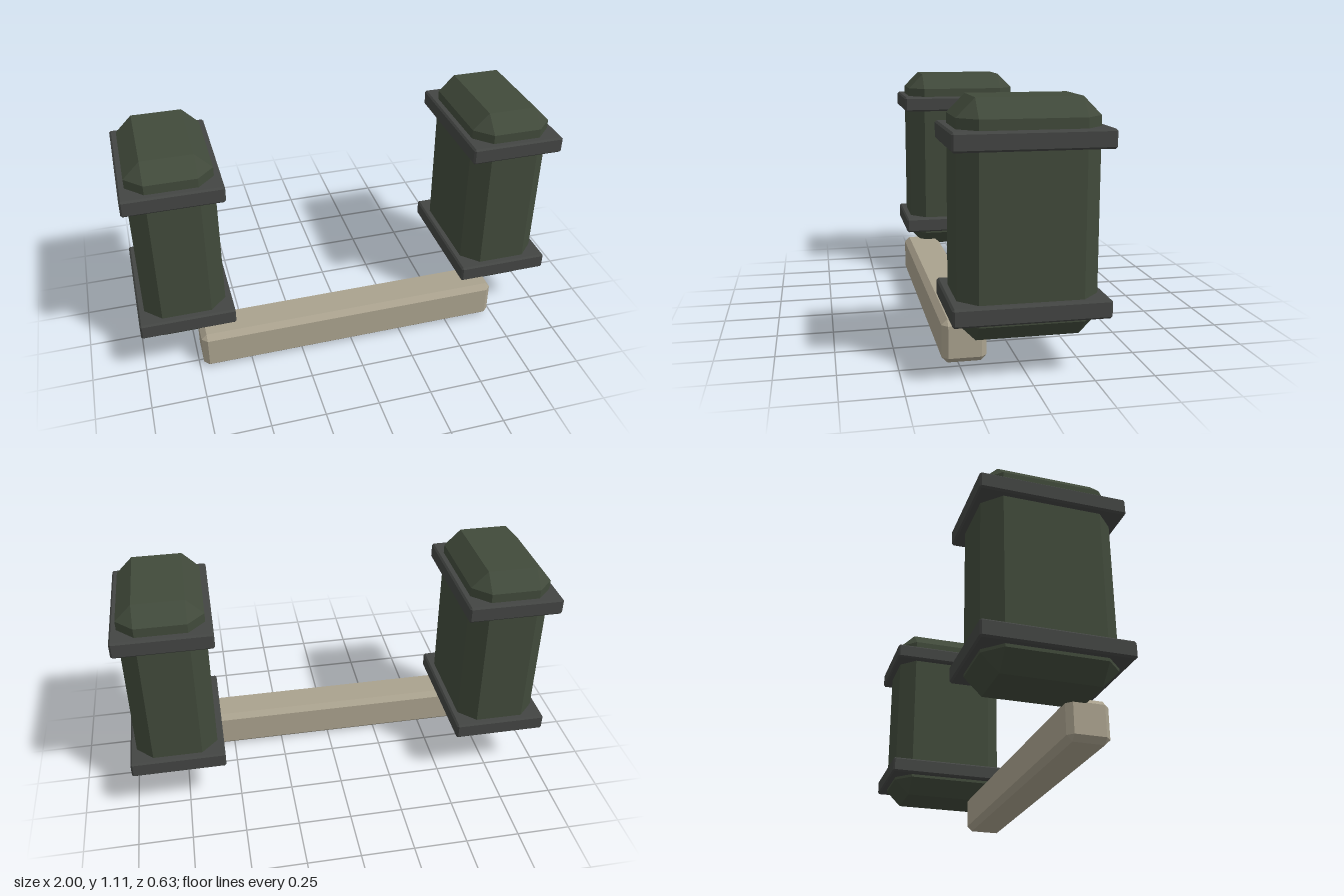
import * as THREE from 'three';
import { ConvexGeometry } from 'three/addons/geometries/ConvexGeometry.js';

// Box with every edge cut by a single flat bevel
function chamferBox(w, h, d, b) {
  const points = [];
  for (const sx of [-1, 1]) for (const sy of [-1, 1]) for (const sz of [-1, 1]) {
    const x = w / 2, y = h / 2, z = d / 2;
    points.push(
      new THREE.Vector3(sx * x, sy * (y - b), sz * (z - b)),
      new THREE.Vector3(sx * (x - b), sy * y, sz * (z - b)),
      new THREE.Vector3(sx * (x - b), sy * (y - b), sz * z)
    );
  }
  return new ConvexGeometry(points);
}

export function createModel() {
  const model = new THREE.Group();
  const material = (color) => new THREE.MeshStandardMaterial({ color, flatShading: true });
  const green = material(0x414a3b);
  const dark = material(0x434543);
  const tan = material(0xaaa28e);

  const add = (parent, name, geometry, mat, x, y, z) => {
    const mesh = new THREE.Mesh(geometry, mat);
    mesh.name = name;
    mesh.position.set(x, y, z);
    parent.add(mesh);
  };

  // Two upright canisters, each with an upper and a lower band
  const bodyGeometry = chamferBox(0.376, 0.95, 0.57, 0.075);
  const bandGeometry = chamferBox(0.437, 0.076, 0.634, 0.008);
  for (const side of [-1, 1]) {
    const canister = new THREE.Group();
    canister.name = side > 0 ? 'leftCanister' : 'rightCanister';
    canister.position.x = side * 0.78;
    add(canister, 'canisterBody', bodyGeometry, green, 0, 0.637, 0);
    add(canister, 'lowerBand', bandGeometry, dark, 0, 0.289, 0);
    add(canister, 'upperBand', bandGeometry, dark, 0, 0.957, 0);
    model.add(canister);
  }

  // Crossbar under the front edge, joining the canisters
  add(model, 'crossbar', chamferBox(1.46, 0.19, 0.19, 0.025), tan, 0, 0.095, 0.223);

  return model;
}
